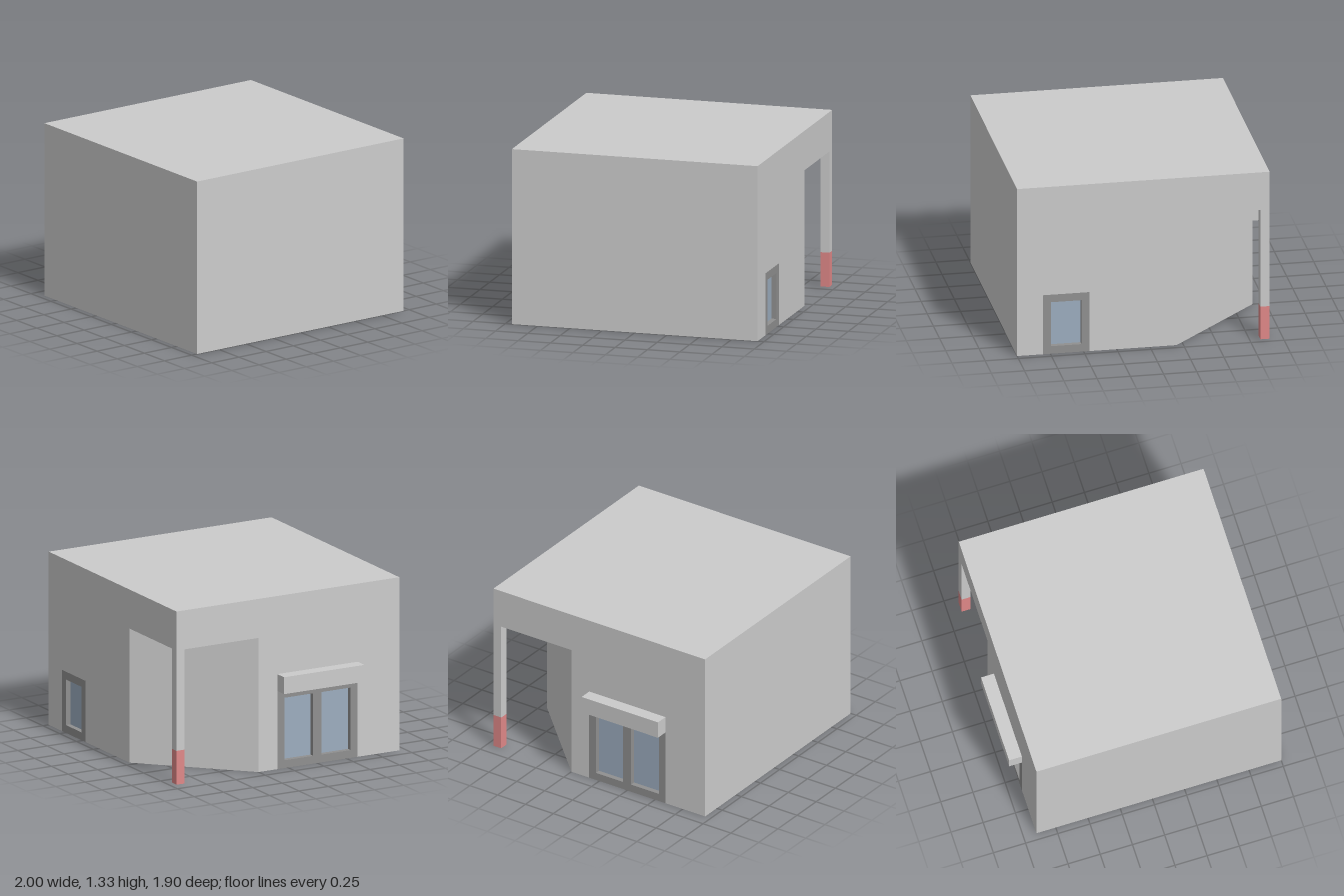
import * as THREE from 'three';

const material = (color) => new THREE.MeshStandardMaterial({ color, side: THREE.DoubleSide });
const wallMat = material(0xcccccc);
const frameMat = material(0x909090);
const glassMat = material(0x9cadbf);
const redMat = material(0xe08888);

const HEIGHT = 1.33, LEFT = 1, RIGHT = -0.9, FRONT = 0.95, BACK = -0.95;
const PORCH = 0.7, PORCH_TOP = 1.03, POST = 0.07, BASE = 0.26;
const RECESS = 0.04;

function add(parent, name, geometry, mat, x = 0, y = 0, z = 0) {
  const mesh = new THREE.Mesh(geometry, mat);
  mesh.name = name;
  mesh.position.set(x, y, z);
  parent.add(mesh);
  return mesh;
}

// Box without the listed sides (0..5 = +x, -x, +y, -y, +z, -z)
function openBox(w, h, d, skip) {
  const geometry = new THREE.BoxGeometry(w, h, d);
  const index = Array.from(geometry.index.array);
  geometry.setIndex(index.filter((_, i) => !skip.includes(Math.floor(i / 6))));
  geometry.clearGroups();
  return geometry;
}

const shapeOf = (points) => new THREE.Shape(points.map(([x, y]) => new THREE.Vector2(x, y)));

// Frame panel standing on the ground, with recessed panes; +z faces outdoors
function addWindow(wall, u0, u1, top, panes, y0, y1) {
  const window = new THREE.Group();
  window.name = 'window';
  const panel = shapeOf([[u0, 0], [u1, 0], [u1, top], [u0, top]]);
  for (const [a, b] of panes) {
    panel.holes.push(shapeOf([[a, y0], [a, y1], [b, y1], [b, y0]]));
    const w = b - a, h = y1 - y0, x = (a + b) / 2, y = (y0 + y1) / 2;
    add(window, 'windowReveal', openBox(w, h, RECESS, [4, 5]), frameMat, x, y, -RECESS / 2);
    add(window, 'windowGlass', new THREE.PlaneGeometry(w, h), glassMat, x, y, -RECESS);
  }
  add(window, 'windowFrame', new THREE.ShapeGeometry(panel), frameMat);
  wall.add(window);
}

export function createModel() {
  const model = new THREE.Group();
  model.name = 'cornerBuilding';

  // Roof and the two plain walls, open underneath
  add(model, 'roofAndPlainWalls', openBox(LEFT - RIGHT, HEIGHT, FRONT - BACK, [1, 3, 5]), wallMat,
    (LEFT + RIGHT) / 2, HEIGHT / 2, 0);

  // Back wall, with a window and half of the porch opening
  const back = new THREE.Group();
  back.name = 'backWall';
  back.rotation.y = Math.PI;
  back.position.z = BACK;
  add(back, 'backWallPanel', new THREE.ShapeGeometry(shapeOf([
    [-1, 0], [-0.805, 0], [-0.805, 0.47], [-0.455, 0.47], [-0.455, 0],
    [0.2, 0], [0.2, PORCH_TOP], [0.9, PORCH_TOP], [0.9, HEIGHT], [-1, HEIGHT],
  ])), wallMat);
  addWindow(back, -0.805, -0.455, 0.47, [[-0.745, -0.515]], 0.06, 0.41);
  model.add(back);

  // Side wall, with a double window and the other half of the porch opening
  const side = new THREE.Group();
  side.name = 'sideWall';
  side.rotation.y = -Math.PI / 2;
  side.position.x = RIGHT;
  add(side, 'sideWallPanel', new THREE.ShapeGeometry(shapeOf([
    [-0.95, PORCH_TOP], [-0.25, PORCH_TOP], [-0.25, 0], [-0.09, 0], [-0.09, 0.73],
    [0.595, 0.73], [0.595, 0], [0.95, 0], [0.95, HEIGHT], [-0.95, HEIGHT],
  ])), wallMat);
  addWindow(side, -0.09, 0.595, 0.6, [[-0.03, 0.215], [0.285, 0.535]], 0.06, 0.54);
  // Awning, hollow towards the room
  add(side, 'awning', openBox(0.685, 0.13, 0.1, [5]), wallMat, 0.2525, 0.665, 0.05);
  model.add(side);

  // Diagonal entrance wall and the ceiling of the porch
  const entrance = add(model, 'entranceWall',
    new THREE.PlaneGeometry(PORCH * Math.SQRT2, PORCH_TOP), wallMat,
    RIGHT + PORCH / 2, PORCH_TOP / 2, BACK + PORCH / 2);
  entrance.rotation.y = -Math.PI * 0.75;
  const soffit = shapeOf([[RIGHT, BACK], [RIGHT + PORCH, BACK], [RIGHT, BACK + PORCH]]);
  add(model, 'porchCeiling', new THREE.ShapeGeometry(soffit).rotateX(Math.PI / 2), wallMat,
    0, PORCH_TOP, 0);

  // Corner post with its red foot
  const px = RIGHT + POST / 2, pz = BACK + POST / 2;
  add(model, 'cornerPost', openBox(POST, PORCH_TOP - BASE, POST, [2, 3]), wallMat,
    px, (PORCH_TOP + BASE) / 2, pz);
  add(model, 'cornerPostFoot', openBox(POST, BASE, POST, [2, 3]), redMat, px, BASE / 2, pz);

  return model;
}
